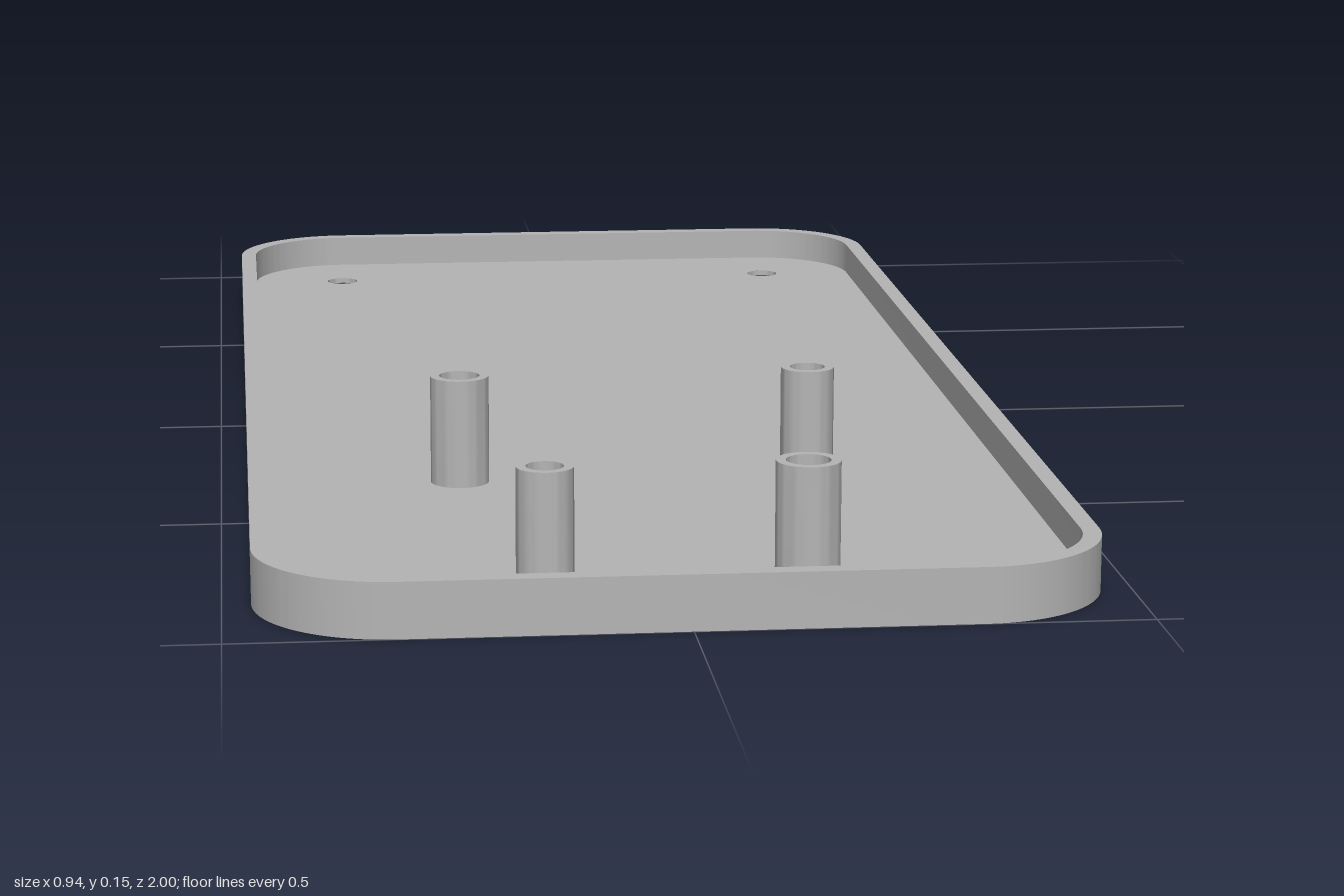
import * as THREE from 'three';
import { toCreasedNormals } from 'three/addons/utils/BufferGeometryUtils.js';

const HALF_W = 0.468, HALF_L = 1, CORNER = 0.153;
const WALL = 0.021, HEIGHT = 0.063, FLOOR = 0.021;
const HOLE_R = 0.022, SINK_R = 0.037;
const HOLES = [[-0.318, -0.85], [0.318, -0.85], [-0.318, 0.85], [0.318, 0.85]];
// x, z, outer radius
const POSTS = [[-0.214, 0.403, 0.035], [0.207, 0.393, 0.032], [-0.148, 0.862, 0.032], [0.141, 0.861, 0.036]];

// Rounded rectangle, inset from the outer edge
function outline(inset, Type = THREE.Shape) {
  const w = HALF_W - inset, l = HALF_L - inset, r = CORNER - inset;
  const s = new Type();
  s.absarc(w - r, l - r, r, 0, Math.PI / 2);
  s.absarc(-w + r, l - r, r, Math.PI / 2, Math.PI);
  s.absarc(-w + r, -l + r, r, Math.PI, Math.PI * 1.5);
  s.absarc(w - r, -l + r, r, Math.PI * 1.5, Math.PI * 2);
  s.closePath();
  return s;
}

// Floor face pierced by four round holes
function floorFace(radius, turn) {
  const s = outline(WALL);
  for (const [x, z] of HOLES) {
    const hole = new THREE.Path();
    hole.absarc(x, -z, radius, 0, Math.PI * 2, true);
    s.holes.push(hole);
  }
  return new THREE.ShapeGeometry(s, 24).rotateX(turn);
}

function lathe(points) {
  const g = new THREE.LatheGeometry(points.map(([r, y]) => new THREE.Vector2(r, y)), 40);
  return toCreasedNormals(g, 0.5);
}

export function createModel() {
  const group = new THREE.Group();
  const grey = new THREE.MeshStandardMaterial({ color: 0xb4b4b4 });
  grey.name = 'grey plastic';
  const add = (name, geometry, x = 0, y = 0, z = 0) => {
    const mesh = new THREE.Mesh(geometry, grey);
    mesh.name = name;
    mesh.position.set(x, y, z);
    group.add(mesh);
  };

  // Raised rim around the tray
  const ring = outline(0);
  ring.holes.push(outline(WALL, THREE.Path));
  const rim = new THREE.ExtrudeGeometry(ring, { depth: HEIGHT, bevelEnabled: false, curveSegments: 24 });
  add('rim', toCreasedNormals(rim.rotateX(-Math.PI / 2), 0.5));

  // Floor, upper and lower faces
  add('floorTop', floorFace(HOLE_R, -Math.PI / 2), 0, FLOOR, 0);
  add('floorBottom', floorFace(SINK_R, Math.PI / 2));

  // Countersunk screw holes
  const sink = lathe([[HOLE_R, FLOOR], [HOLE_R, 0.014], [SINK_R, 0]]);
  for (const [x, z] of HOLES) add('screwHole', sink, x, 0, z);

  // Hollow mounting posts
  for (const [x, z, r] of POSTS) {
    add('mountingPost', lathe([[r, FLOOR], [r, 0.151], [r - 0.011, 0.151], [r - 0.011, FLOOR]]), x, 0, z);
  }
  return group;
}
